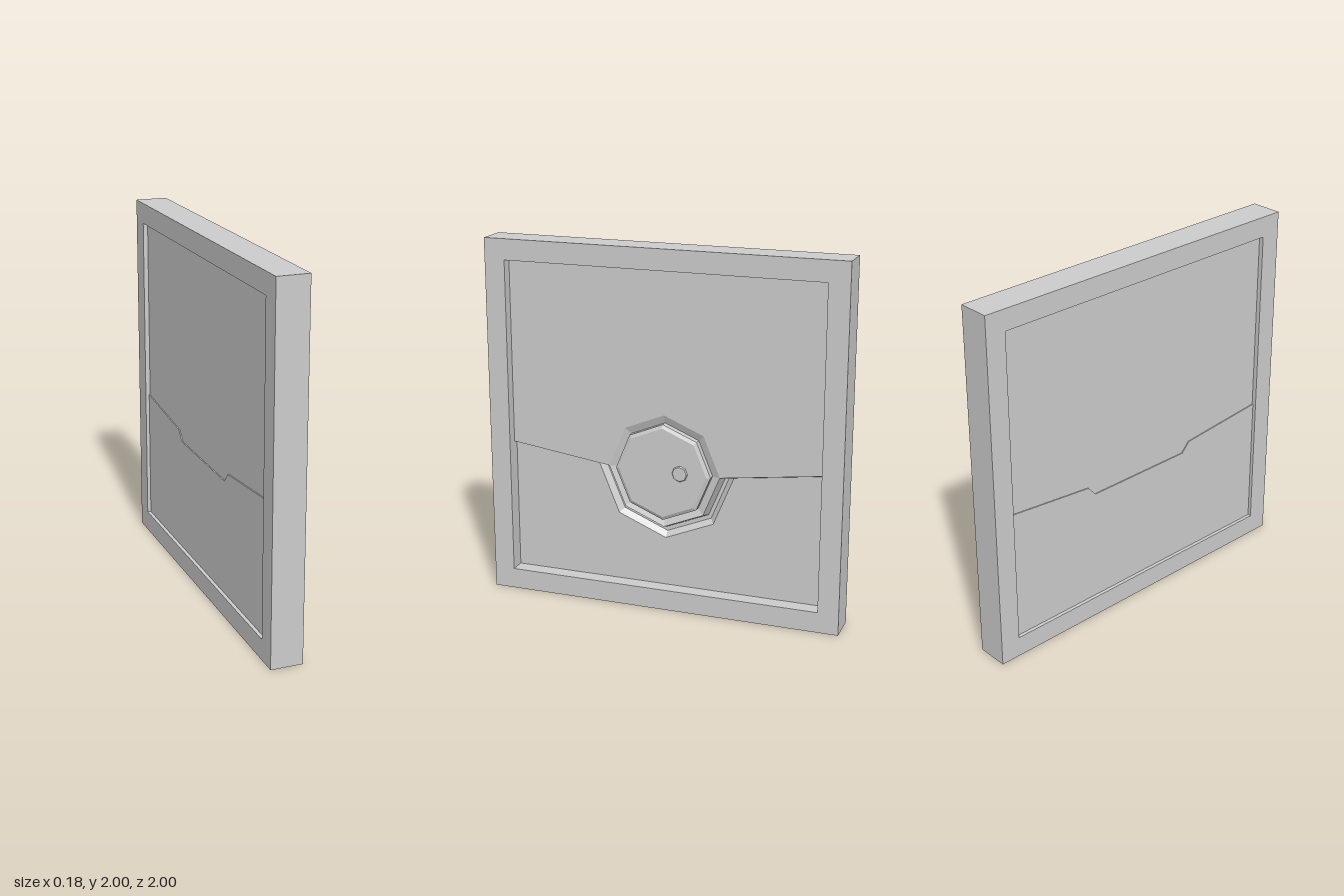
import * as THREE from 'three';

const INNER = 0.885, LOW = 0.115, HIGH = 1.885, HUB_Y = 0.78;

export function createModel() {
  const group = new THREE.Group();
  const grey = new THREE.MeshStandardMaterial({ color: 0xcccccc });
  grey.name = 'light grey';

  const add = (name, geometry) => {
    const mesh = new THREE.Mesh(geometry, grey);
    mesh.name = name;
    group.add(mesh);
    return mesh;
  };

  // Slab cut from an outline in (-z, y), running from x0 to x1;
  // the optional rule reshapes the vertices on its back.
  const slab = (name, points, x0, x1, rule, hole) => {
    const shape = new THREE.Shape(points.map(p => new THREE.Vector2(...p)));
    if (hole) shape.holes.push(new THREE.Path(hole.map(p => new THREE.Vector2(...p))));
    const geo = new THREE.ExtrudeGeometry(shape, { depth: x1 - x0, bevelEnabled: false });
    geo.rotateY(Math.PI / 2).translate(x0, 0, 0);
    if (rule) {
      const pos = geo.attributes.position, v = new THREE.Vector3();
      for (let i = 0; i < pos.count; i++) {
        v.fromBufferAttribute(pos, i);
        if (v.x < (x0 + x1) / 2) rule(v);
        pos.setXYZ(i, v.x, v.y, v.z);
      }
      geo.computeVertexNormals();
    }
    return add(name, geo);
  };

  // Flat-faced octagonal turning about the x axis; profile is [radius, x]
  const turned = (name, profile, y, z) => {
    const geo = new THREE.LatheGeometry(profile.map(p => new THREE.Vector2(...p)), 8)
      .rotateZ(-Math.PI / 2).toNonIndexed();
    geo.computeVertexNormals();
    add(name, geo).position.set(0, y, z);
  };

  const rect = (w, y0, y1) => [[-w, y0], [w, y0], [w, y1], [-w, y1]];

  // Half of an octagon, from the left vertex (-r) to the right one
  const halfOctagon = (r, cy, sign) => Array.from({ length: 5 }, (_, i) => {
    const a = Math.PI - i * Math.PI / 4;
    return [r * Math.cos(a), cy + sign * r * Math.sin(a)];
  });

  // Surrounding frame and the core behind both panels
  slab('frame', rect(1, 0, 2), -0.088, 0.088, null, rect(INNER, LOW, HIGH));
  slab('panelCore', rect(INNER, LOW, HIGH), -0.062, -0.03);

  // Upper panel, its lower edge sloping down towards the back
  slab('upperPanel', [
    [-INNER, 0.857], ...halfOctagon(0.316, HUB_Y, 1),
    [INNER, 0.857], [INNER, HIGH], [-INNER, HIGH],
  ], -0.03, 0.03, v => {
    if (v.y < 0.9 && Math.abs(v.z) > 0.3) v.y -= 0.022;
  });

  // Lower panel with a sloped recess below the hub
  const moatY = 0.775;
  slab('lowerPanel', [
    [-INNER, LOW], [INNER, LOW], [INNER, 0.855], [0.385, 0.797],
    ...halfOctagon(0.385, moatY, -1).reverse(),
    [-0.385, 0.797], [-INNER, 0.855],
  ], -0.03, 0, v => {
    if (Math.abs(v.z) < 0.4) {
      v.z *= 0.92;
      if (v.y < moatY) v.y = moatY + (v.y - moatY) * 0.92;
    }
  });

  // Slightly raised skin on the back of the lower panel
  slab('lowerBackSkin', [
    [-INNER, LOW], [INNER, LOW], [INNER, 0.86], [0.37, 0.81], [0.32, 0.755],
    [-0.32, 0.755], [-0.37, 0.81], [-INNER, 0.86],
  ], -0.068, -0.05);

  // Dished rim with the raised disc, and the small knob on it
  turned('hub', [[0.335, -0.03], [0.316, 0.03], [0.27, 0.012],
    [0.27, 0.048], [0.25, 0.058], [0, 0.058]], HUB_Y, 0);
  turned('knob', [[0.05, 0.05], [0.04, 0.066], [0, 0.066]], 0.787, -0.1);

  return group;
}
